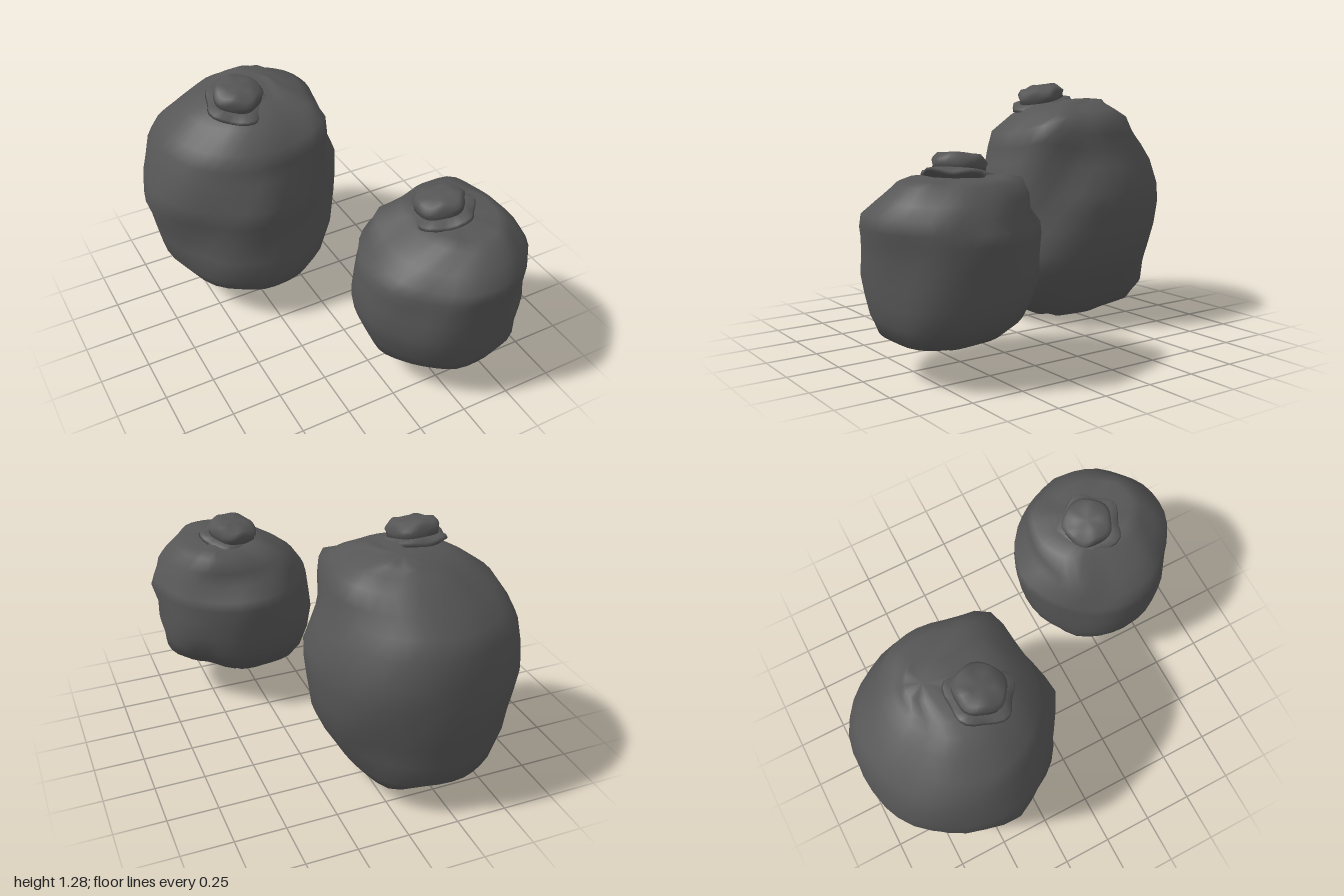
import * as THREE from 'three';

const material = new THREE.MeshStandardMaterial({ color: 0x565656, side: THREE.DoubleSide });
const SIDES = 36;

// Closed skin over rings of points, bottom to top, with a centre point at each end.
function skin(rings, bottom, top) {
  const n = rings[0].length, pos = [], index = [];
  rings.forEach(r => r.forEach(p => pos.push(...p)));
  pos.push(...bottom, ...top);
  const b = rings.length * n, t = b + 1, last = (rings.length - 1) * n;
  for (let i = 0; i < n; i++) {
    const j = (i + 1) % n;
    for (let k = 0; k < last; k += n) {
      index.push(k + i, k + n + i, k + j, k + j, k + n + i, k + n + j);
    }
    index.push(b, i, j, t, last + j, last + i);
  }
  const g = new THREE.BufferGeometry();
  g.setAttribute('position', new THREE.Float32BufferAttribute(pos, 3));
  g.setIndex(index);
  g.computeVertexNormals();
  return g;
}

// Lumpy fruit body: each row is [y, xMin, xMax, zMin, zMax],
// each bump is [x, y, z, radius, push away from the centre].
function fruitBody(rows, bottom, top, centre, bumps) {
  const mid = new THREE.Vector3(...centre);
  const rings = rows.map(([y, x0, x1, z0, z1]) => {
    const ring = [];
    for (let i = 0; i < SIDES; i++) {
      const a = i / SIDES * Math.PI * 2;
      const p = new THREE.Vector3(
        (x0 + x1) / 2 + (x1 - x0) / 2 * Math.cos(a),
        y,
        (z0 + z1) / 2 + (z1 - z0) / 2 * Math.sin(a),
      );
      const out = p.clone().sub(mid).normalize();
      let push = 0.008 * Math.sin(2 * a) ** 2 * Math.sin(5 * a + 9 * y);
      for (const [bx, by, bz, radius, amount] of bumps) {
        const d = p.distanceTo(new THREE.Vector3(bx, by, bz)) / radius;
        push += amount * Math.exp(-2 * d * d);
      }
      ring.push(p.addScaledVector(out, push).toArray());
    }
    return ring;
  });
  return skin(rings, bottom, top);
}

// Crown: a ragged collar, longest toward the front, with a stout lobed knob on it.
function crown(position, tilt, lean, spin) {
  const group = new THREE.Group();
  const ring = (r, y, lobe, wave, shift = 0) => {
    const out = [];
    for (let i = 0; i < 30; i++) {
      const a = i / 30 * Math.PI * 2;
      const c = Math.cos(5 * a + spin);
      const s = r * (1 + lobe * c);
      out.push([Math.cos(a) * s, y + wave * c, Math.sin(a) * s + shift]);
    }
    return out;
  };
  const collar = new THREE.Mesh(skin([
    ring(0.11, -0.045, 0, 0),
    ring(0.16, -0.02, 0.08, 0.008, 0.01),
    ring(0.155, -0.004, 0.08, 0.008, 0.01),
    ring(0.12, 0.012, 0.03, 0),
  ], [0, -0.045, 0], [0, 0.012, 0]), material);
  collar.name = 'crownCollar';
  const knob = new THREE.Mesh(skin([
    ring(0.12, 0, 0.03, 0),
    ring(0.118, 0.03, 0.04, 0),
    ring(0.124, 0.052, 0.05, -0.008),
    ring(0.105, 0.074, 0.04, -0.008),
    ring(0.06, 0.084, 0.02, 0),
  ], [0, 0, 0], [0, 0.084, 0]), material);
  knob.name = 'crownKnob';
  group.add(collar, knob);
  group.position.set(...position);
  group.rotation.set(tilt, 0, lean);
  group.name = 'crown';
  return group;
}

function fruit(name, bodyArgs, crownArgs) {
  const group = new THREE.Group();
  const body = new THREE.Mesh(fruitBody(...bodyArgs), material);
  body.name = 'fruitBody';
  group.add(body, crown(...crownArgs));
  group.name = name;
  return group;
}

export function createModel() {
  const model = new THREE.Group();

  // Tall fruit at the back, with a shoulder bulge near its crown
  const largeRows = [
    [0.015, -0.34, -0.10, -0.54, -0.28],
    [0.05, -0.44, 0.02, -0.66, -0.20],
    [0.11, -0.54, 0.09, -0.82, -0.12],
    [0.19, -0.62, 0.14, -0.94, -0.04],
    [0.29, -0.69, 0.20, -0.95, 0.01],
    [0.40, -0.71, 0.25, -0.97, 0.00],
    [0.52, -0.73, 0.27, -0.99, -0.01],
    [0.63, -0.75, 0.28, -0.99, 0.00],
    [0.73, -0.74, 0.28, -0.98, 0.00],
    [0.86, -0.70, 0.23, -0.96, -0.04],
    [0.94, -0.66, 0.19, -0.92, -0.05],
    [1.02, -0.61, 0.18, -0.84, -0.07],
    [1.10, -0.50, 0.15, -0.77, -0.16],
    [1.14, -0.43, 0.09, -0.70, -0.21],
    [1.165, -0.35, 0.01, -0.67, -0.28],
    [1.185, -0.22, -0.04, -0.64, -0.42],
  ];
  model.add(fruit('largeFruit', [
    largeRows, [-0.24, 0, -0.41], [-0.13, 1.195, -0.56], [-0.24, 0.6, -0.48],
    [
      [0.06, 0.97, -0.16, 0.17, 0.08],
      [0.16, 0.70, -0.12, 0.18, -0.03],
      [-0.62, 0.50, -0.12, 0.25, -0.03],
      [-0.75, 0.63, -0.43, 0.12, 0.025],
      [-0.31, 0.73, 0.00, 0.12, 0.03],
      [-0.55, 0.95, -0.15, 0.20, -0.025],
      [0.02, 0.10, -0.76, 0.20, 0.04],
      [0.16, 0.45, -0.82, 0.18, -0.02],
      [-0.08, 0.75, -0.97, 0.15, 0.015],
    ],
  ], [[-0.28, 1.175, -0.36], 0.22, -0.03, -1.5]));

  // Rounder fruit at the front
  const smallRows = [
    [0.13, 0.12, 0.42, 0.43, 0.70],
    [0.145, 0.05, 0.48, 0.42, 0.80],
    [0.20, -0.02, 0.62, 0.33, 0.92],
    [0.28, -0.05, 0.71, 0.24, 0.96],
    [0.36, -0.08, 0.72, 0.20, 0.97],
    [0.45, -0.10, 0.74, 0.19, 0.98],
    [0.54, -0.09, 0.73, 0.18, 0.98],
    [0.63, -0.08, 0.74, 0.18, 0.99],
    [0.68, -0.07, 0.73, 0.19, 1.00],
    [0.74, -0.03, 0.71, 0.26, 1.00],
    [0.80, 0.04, 0.68, 0.28, 0.94],
    [0.865, 0.16, 0.62, 0.31, 0.88],
    [0.885, 0.22, 0.57, 0.39, 0.82],
  ];
  model.add(fruit('smallFruit', [
    smallRows, [0.27, 0.12, 0.54], [0.38, 0.89, 0.58], [0.33, 0.53, 0.58],
    [
      [0.12, 0.82, 0.38, 0.15, 0.045],
      [0.08, 0.75, 0.86, 0.17, -0.025],
      [0.05, 0.20, 0.82, 0.20, -0.035],
      [0.60, 0.22, 0.32, 0.18, -0.045],
      [0.55, 0.17, 0.82, 0.18, 0.03],
      [0.56, 0.84, 0.36, 0.14, 0.03],
      [0.64, 0.60, 0.28, 0.17, -0.025],
      [0.07, 0.22, 0.34, 0.18, 0.025],
      [0.08, 0.60, 0.27, 0.16, -0.02],
      [0.74, 0.63, 0.63, 0.12, 0.03],
      [0.31, 0.65, 0.18, 0.14, 0.02],
    ],
  ], [[0.33, 0.90, 0.55], -0.16, 0.13, -0.4]));

  return model;
}
